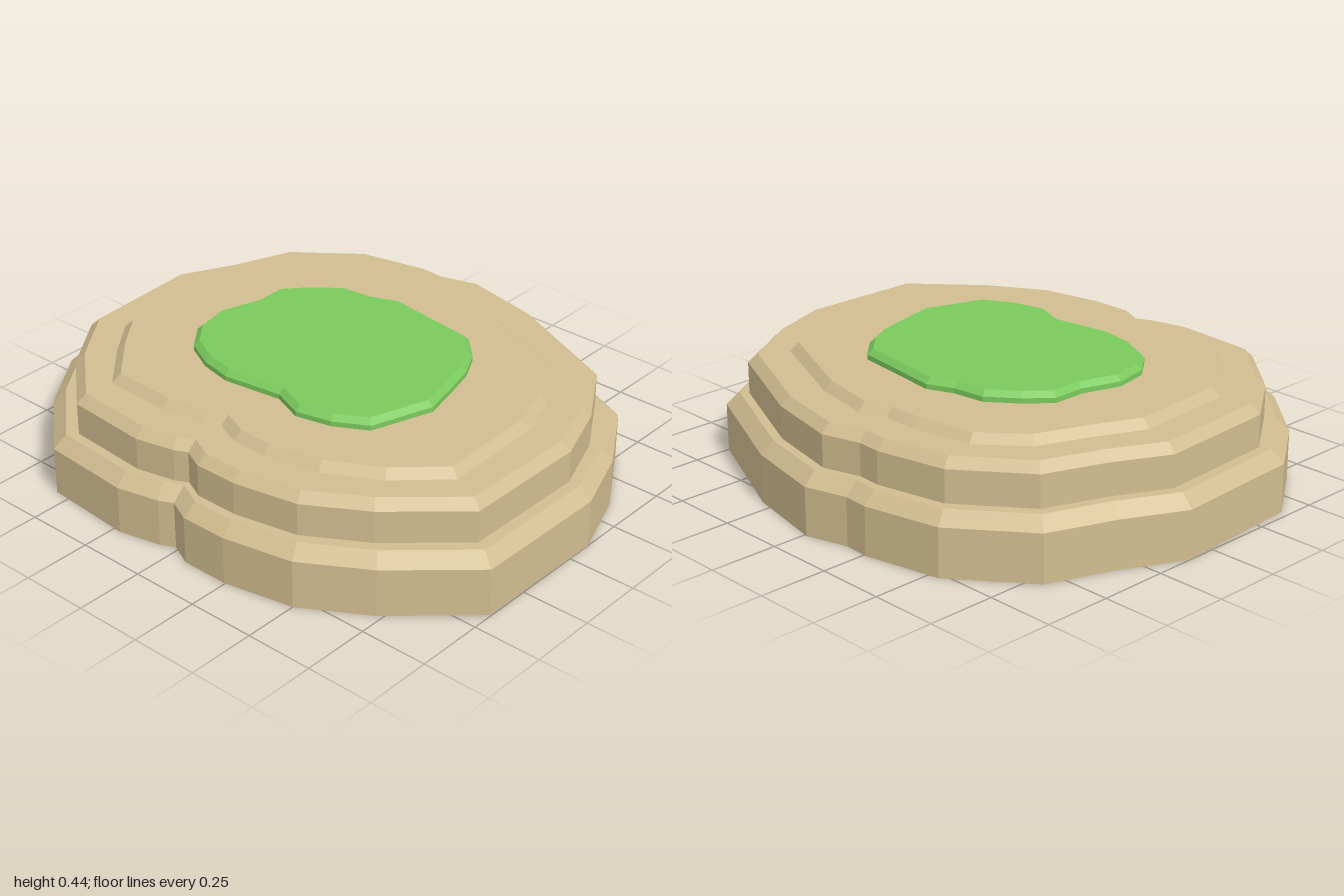
import * as THREE from 'three';

const sand = new THREE.MeshStandardMaterial({ color: 0xd2bd90 });
sand.name = 'sand';
const grass = new THREE.MeshStandardMaterial({ color: 0x7bca5d });
grass.name = 'grass';

// Outlines as [x, z], running back, right, front, left
const baseOutline = [
  [-0.01, -0.875], [0.30, -0.81], [0.75, -0.61], [0.91, -0.35], [1.0, -0.10], [0.995, 0.42],
  [0.73, 0.66], [0.50, 0.80], [0.245, 0.85], [0.07, 0.85], [-0.015, 0.81], [-0.065, 0.835],
  [-0.22, 0.87], [-0.56, 0.845], [-0.80, 0.63], [-0.97, 0.39], [-1.0, -0.11], [-0.89, -0.33],
  [-0.80, -0.57], [-0.54, -0.775], [-0.26, -0.835], [-0.165, -0.83],
];
const middleOutline = baseOutline.map(([x, z]) => [x * 0.915, z * 0.91]);
const upperOutline = [
  [-0.01, -0.64], [0.22, -0.595], [0.605, -0.43], [0.70, -0.25], [0.765, -0.07], [0.775, 0.325],
  [0.61, 0.48], [0.42, 0.585], [0.22, 0.63], [0.085, 0.625], [-0.01, 0.585], [-0.07, 0.605],
  [-0.23, 0.64], [-0.485, 0.63], [-0.64, 0.46], [-0.745, 0.32], [-0.77, -0.065], [-0.69, -0.24],
  [-0.615, -0.43], [-0.46, -0.565], [-0.235, -0.605], [-0.11, -0.605],
];
const grassOutline = [
  [-0.065, -0.39], [0.285, -0.345], [0.37, -0.26], [0.42, -0.165], [0.455, -0.035], [0.485, 0.095],
  [0.41, 0.32], [0.295, 0.385], [0.165, 0.415], [0.05, 0.37], [-0.17, 0.40], [-0.29, 0.375],
  [-0.40, 0.32], [-0.475, 0.225], [-0.50, 0.095], [-0.455, -0.05], [-0.455, -0.17], [-0.38, -0.255],
  [-0.28, -0.335], [-0.16, -0.35],
];

// Move every edge of an outline inward by the same distance
function insetOutline(points, distance) {
  const count = points.length;
  const inward = points.map(([x, z], i) => {
    const [nx, nz] = points[(i + 1) % count];
    const length = Math.hypot(nx - x, nz - z);
    return [-(nz - z) / length, (nx - x) / length];
  });
  return points.map(([x, z], i) => {
    const a = inward[(i + count - 1) % count];
    const b = inward[i];
    const k = distance / (1 + a[0] * b[0] + a[1] * b[1]);
    return [x + (a[0] + b[0]) * k, z + (a[1] + b[1]) * k];
  });
}

// Stack of outline rings, each level [y, inset], closed at top and bottom
function makeTier(name, outline, levels, material) {
  const rings = levels.map(([y, inset]) => insetOutline(outline, inset).map(([x, z]) => [x, y, z]));
  const vertices = [];
  const addTriangle = (a, b, c) => vertices.push(...a, ...b, ...c);

  // Walls and bevels
  for (let r = 0; r < rings.length - 1; r++) {
    for (let i = 0; i < outline.length; i++) {
      const j = (i + 1) % outline.length;
      const low = rings[r], high = rings[r + 1];
      addTriangle(low[i], high[i], low[j]);
      addTriangle(high[i], high[j], low[j]);
    }
  }

  // Caps
  const addCap = (ring, up) => {
    const flat = ring.map(([x, , z]) => new THREE.Vector2(x, z));
    for (const [a, b, c] of THREE.ShapeUtils.triangulateShape(flat, [])) {
      const p = flat[a], q = flat[b], s = flat[c];
      const facesUp = (q.y - p.y) * (s.x - p.x) - (q.x - p.x) * (s.y - p.y) > 0;
      if (facesUp === up) addTriangle(ring[a], ring[b], ring[c]);
      else addTriangle(ring[a], ring[c], ring[b]);
    }
  };
  addCap(rings[rings.length - 1], true);
  addCap(rings[0], false);

  const geometry = new THREE.BufferGeometry();
  geometry.setAttribute('position', new THREE.Float32BufferAttribute(vertices, 3));
  geometry.computeVertexNormals();
  const mesh = new THREE.Mesh(geometry, material);
  mesh.name = name;
  return mesh;
}

export function createModel() {
  const model = new THREE.Group();
  model.name = 'steppedMound';
  model.add(
    makeTier('baseTier', baseOutline, [[0, 0], [0.175, 0], [0.22, 0.045]], sand),
    makeTier('middleTier', middleOutline, [[0.22, 0], [0.337, 0], [0.37, 0.033]], sand),
    makeTier('upperTier', upperOutline, [[0.37, 0], [0.4, 0.03]], sand),
    makeTier('grassPatch', grassOutline, [[0.4, 0], [0.418, 0], [0.437, 0.02]], grass),
  );
  return model;
}
